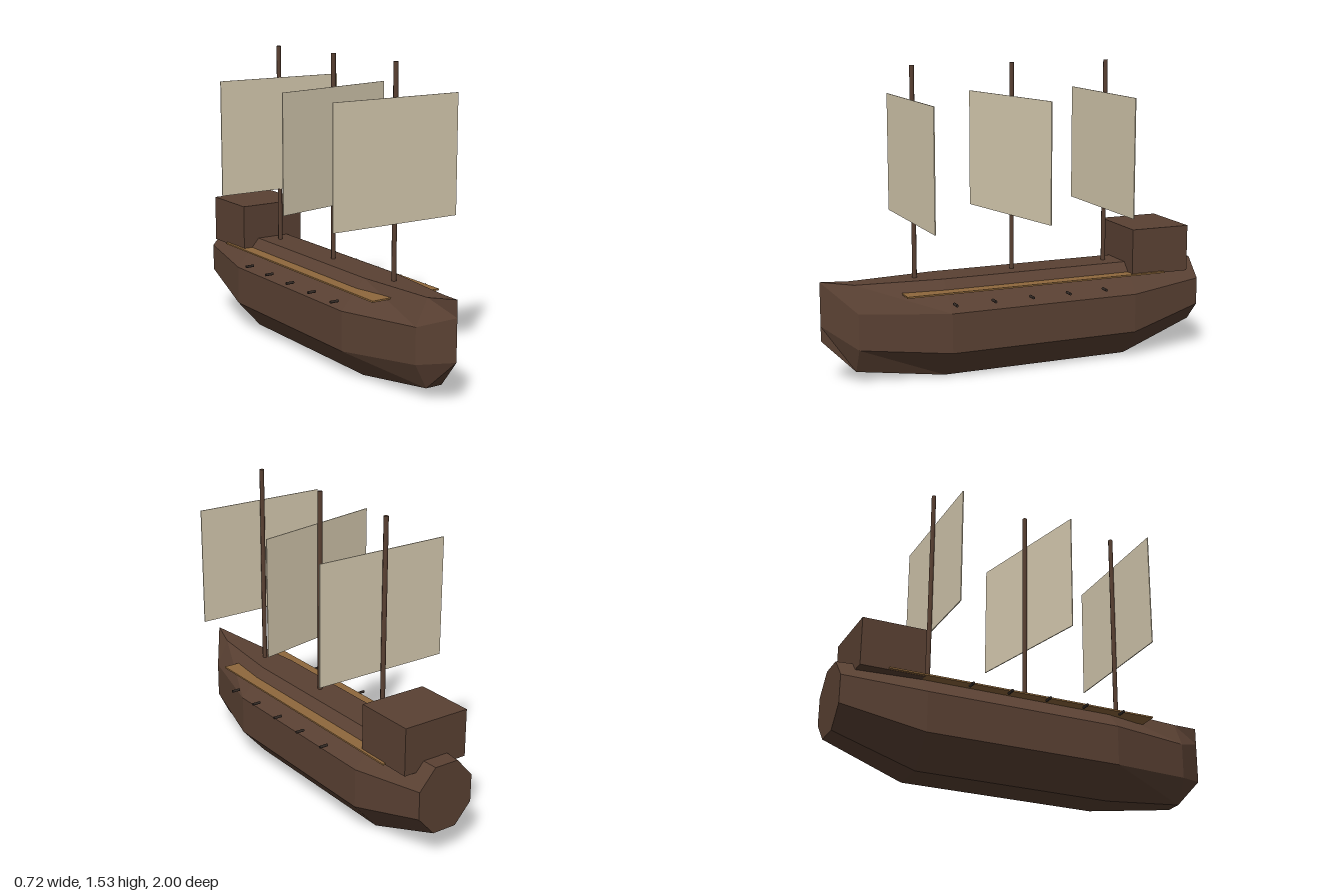
import * as THREE from 'three';

const wood = new THREE.MeshStandardMaterial({ color: 0x5a4133 });
wood.name = 'dark wood';
const plank = new THREE.MeshStandardMaterial({ color: 0x8f683c });
plank.name = 'light wood';
const canvas = new THREE.MeshStandardMaterial({ color: 0xd9cdb2 });
canvas.name = 'sail canvas';
const iron = new THREE.MeshStandardMaterial({ color: 0x332a25 });
iron.name = 'dark iron';

function add(parent, name, geometry, material, x = 0, y = 0, z = 0) {
  const mesh = new THREE.Mesh(geometry, material);
  mesh.name = name;
  mesh.position.set(x, y, z);
  parent.add(mesh);
  return mesh;
}

// Hull lofted through octagonal sections from stern to bow
function hullGeometry() {
  // z, half width, half width of top and bottom, then four heights
  const stations = [
    [-1, 0.155, 0.065, 0.14, 0.24, 0.38, 0.48],
    [-0.6, 0.22, 0.09, 0, 0.145, 0.345, 0.49],
    [0.4, 0.22, 0.09, 0, 0.145, 0.345, 0.49],
    [0.84, 0.11, 0.045, 0.055, 0.18, 0.36, 0.49],
    [1, 0, 0, 0.215, 0.29, 0.425, 0.51],
  ];
  const rings = stations.map(([z, w, n, y0, y1, y2, y3]) => [
    [n, y0], [w, y1], [w, y2], [n, y3], [-n, y3], [-w, y2], [-w, y1], [-n, y0],
  ].map(([x, y]) => [x, y, z]));
  const pos = [];
  for (let j = 0; j < rings.length - 1; j++) {
    for (let k = 0; k < 8; k++) {
      const m = (k + 1) % 8;
      const a = rings[j][k], b = rings[j][m], c = rings[j + 1][m], d = rings[j + 1][k];
      pos.push(...a, ...b, ...c, ...a, ...c, ...d);
    }
  }
  // Flat transom
  for (let k = 1; k < 7; k++) pos.push(...rings[0][0], ...rings[0][k + 1], ...rings[0][k]);
  const g = new THREE.BufferGeometry();
  g.setAttribute('position', new THREE.Float32BufferAttribute(pos, 3));
  g.computeVertexNormals();
  return g;
}

export function createModel() {
  const ship = new THREE.Group();
  ship.name = 'sailingShip';

  add(ship, 'hull', hullGeometry(), wood);
  add(ship, 'deckPlank', new THREE.BoxGeometry(0.39, 0.008, 1.4), plank, 0, 0.44, -0.08);
  add(ship, 'sternCabin', new THREE.BoxGeometry(0.36, 0.24, 0.32), wood, 0, 0.555, -0.76);

  // Masts, each with a square sail on its front
  const mastGeometry = new THREE.CylinderGeometry(0.012, 0.012, 1.1, 8);
  const sailGeometry = new THREE.BoxGeometry(0.72, 0.6, 0.005);
  [['fore', 0.52, 0], ['main', 0, 0.21], ['mizzen', -0.52, 0]].forEach(([name, z, turn]) => {
    add(ship, name + 'Mast', mastGeometry, wood, 0, 0.985, z);
    const sail = add(ship, name + 'Sail', sailGeometry, canvas, 0, 1.07, z + 0.014);
    sail.rotation.y = turn;
  });

  // Row of small guns along each side
  const gunGeometry = new THREE.CylinderGeometry(0.007, 0.007, 0.044, 8).rotateZ(Math.PI / 2);
  for (const side of [-1, 1]) {
    for (let i = -2; i <= 2; i++) {
      add(ship, side > 0 ? 'leftGun' : 'rightGun', gunGeometry, iron, side * 0.262, 0.4, i * 0.2);
    }
  }
  return ship;
}
